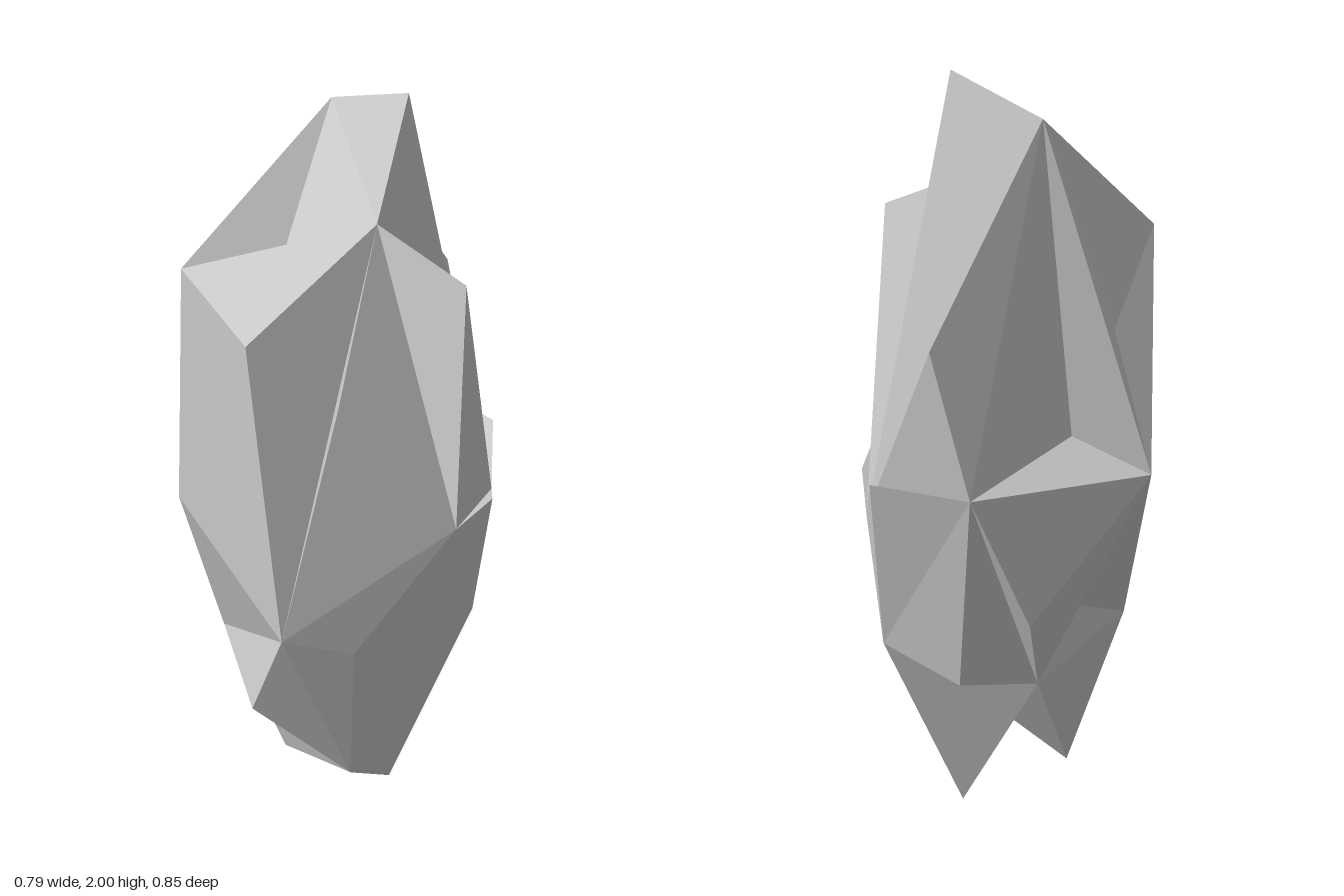
import * as THREE from 'three';

// Corners of a tall, uneven icosahedron
const hubs = {
  backTop: [-0.12, 1.91, -0.165], top: [0.115, 1.73, 0.095], rightTop: [-0.328, 1.59, 0.235],
  leftBack: [0.325, 0.90, -0.187], leftFront: [0.392, 1.055, 0.245], front: [0.01, 0.72, 0.422],
  back: [0.0, 1.045, -0.41], rightBack: [-0.395, 1.06, -0.17], leftLow: [0.30, 0.53, -0.15],
  backLow: [-0.115, 0.465, -0.164], rightLow: [-0.28, 0.53, 0.19], bottom: [0.115, 0.19, 0.24],
};

// Each face of the icosahedron and the point it is pulled out or pushed in to
const facets = [
  ['backTop', 'top', 'leftBack', [0.13, 2.0, -0.045]],
  ['backTop', 'top', 'rightTop', [-0.14, 1.55, 0.11]],
  ['backTop', 'rightTop', 'rightBack', [-0.28, 1.39, -0.06]],
  ['backTop', 'rightBack', 'back', [-0.2, 1.15, -0.185]],
  ['backTop', 'back', 'leftBack', [0.09, 1.41, -0.425]],
  ['top', 'leftBack', 'leftFront', [0.35, 1.635, 0.125]],
  ['top', 'leftFront', 'front', [0.155, 1.41, 0.395]],
  ['top', 'front', 'rightTop', [-0.09, 1.5, 0.372]],
  ['rightTop', 'front', 'rightLow', [-0.28, 1.05, 0.386]],
  ['rightTop', 'rightLow', 'rightBack', [-0.27, 1.05, 0.085]],
  ['leftFront', 'front', 'bottom', [0.16, 0.66, 0.32]],
  ['leftFront', 'bottom', 'leftLow', [0.22, 0.30, 0.165]],
  ['leftFront', 'leftLow', 'leftBack', [0.38, 0.97, -0.04]],
  ['leftBack', 'leftLow', 'back', [0.277, 1.03, -0.31]],
  ['back', 'leftLow', 'backLow', [0.07, 0.48, -0.25]],
  ['back', 'backLow', 'rightBack', [-0.125, 0.69, -0.31]],
  ['rightBack', 'backLow', 'rightLow', [-0.16, 0.645, -0.05]],
  ['front', 'rightLow', 'bottom', [-0.09, 0.46, 0.40]],
  ['rightLow', 'bottom', 'backLow', [-0.14, 0.10, 0.118]],
  ['leftLow', 'bottom', 'backLow', [0.13, 0.0, 0.01]],
];

export function createModel() {
  const centre = new THREE.Vector3(0, 1, 0);
  const points = [];

  for (const [na, nb, nc, peak] of facets) {
    let [a, b, c] = [na, nb, nc].map((n) => new THREE.Vector3(...hubs[n]));
    // Turn the corners so that the face looks outward
    const normal = b.clone().sub(a).cross(c.clone().sub(a));
    const outward = a.clone().add(b).add(c).divideScalar(3).sub(centre);
    if (normal.dot(outward) < 0) [b, c] = [c, b];
    // Three small faces fan around the peak or dent
    const p = new THREE.Vector3(...peak);
    points.push(a, b, p, b, c, p, c, a, p);
  }

  const geometry = new THREE.BufferGeometry().setFromPoints(points);
  geometry.computeVertexNormals();

  const shard = new THREE.Mesh(
    geometry,
    new THREE.MeshStandardMaterial({ color: 0xcccccc, flatShading: true })
  );
  shard.name = 'rockShard';

  const group = new THREE.Group();
  group.name = 'rock';
  group.add(shard);
  return group;
}
